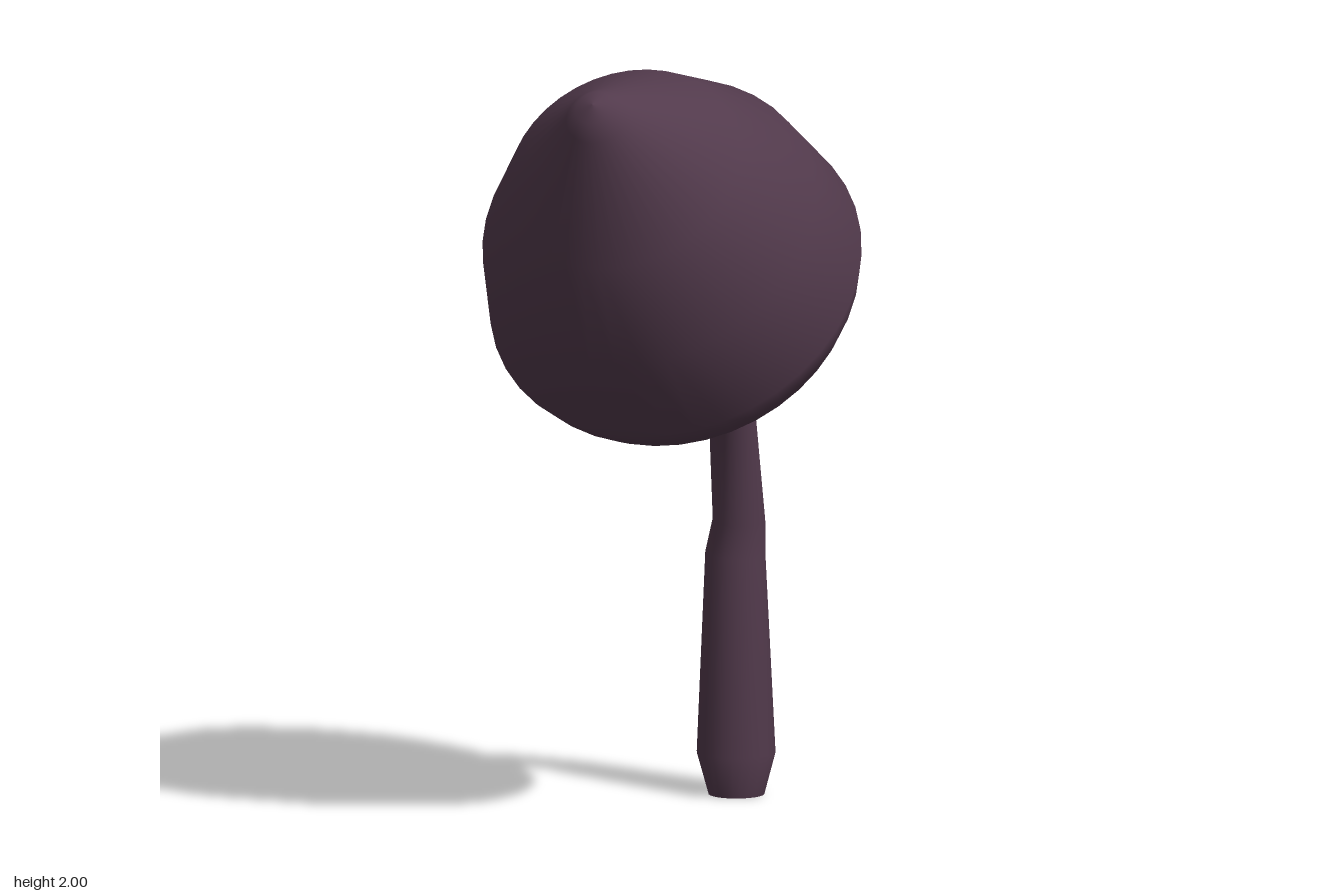
import * as THREE from 'three';

const V = (x, y, z) => new THREE.Vector3(x, y, z);

// Round tube through [x, y, z, radius] stations, closed at both ends
function loft(stations, sides) {
  const centres = stations.map(s => V(s[0], s[1], s[2]));
  const last = centres.length - 1;
  const pos = [], idx = [];
  centres.forEach((c, i) => {
    const t = V(0, 0, 0);
    if (i > 0) t.add(c.clone().sub(centres[i - 1]).normalize());
    if (i < last) t.add(centres[i + 1].clone().sub(c).normalize());
    t.normalize();
    if (i === 0) t.set(0, 1, 0);
    const u = V(0, 0, 1).cross(t).negate().normalize();
    const w = u.clone().cross(t).normalize();
    for (let k = 0; k < sides; k++) {
      const a = k / sides * Math.PI * 2, r = stations[i][3];
      const p = c.clone().addScaledVector(u, Math.cos(a) * r).addScaledVector(w, Math.sin(a) * r);
      pos.push(p.x, p.y, p.z);
    }
  });
  for (let i = 0; i < last; i++) {
    for (let k = 0; k < sides; k++) {
      const a = i * sides + k, b = i * sides + (k + 1) % sides;
      idx.push(a, a + sides, b, b, a + sides, b + sides);
    }
  }
  const g = new THREE.BufferGeometry();
  g.setAttribute('position', new THREE.Float32BufferAttribute(pos, 3));
  g.setIndex(idx);
  g.computeVertexNormals();
  return g;
}

export function createModel() {
  const root = new THREE.Group();
  root.name = 'mushroom';
  const plum = new THREE.MeshStandardMaterial({ color: 0x523a4c });
  plum.name = 'dusky plum';

  const add = (parent, name, geometry) => {
    const m = new THREE.Mesh(geometry, plum);
    m.name = name;
    parent.add(m);
    return m;
  };
  const lathe = pts => new THREE.LatheGeometry(pts.map(p => new THREE.Vector2(p[0], p[1])), 40);

  // Cap: turned about an axis that leans right, up and a little forward
  const cap = new THREE.Group();
  cap.name = 'cap';
  cap.position.set(0.105, 1.34, 0);
  cap.quaternion.setFromUnitVectors(V(0, 1, 0), V(-0.70, 0.69, 0.18).normalize());
  root.add(cap);
  add(cap, 'capTop', lathe([
    [0.44, 0], [0.472, 0.055], [0.497, 0.125], [0.445, 0.38], [0.31, 0.62],
    [0.085, 0.865], [0.05, 0.903], [0, 0.918],
  ]));
  // Sloping inner lip and shallow underside
  add(cap, 'capLip', lathe([[0.395, 0.06], [0.42, 0.02], [0.44, 0]]));
  add(cap, 'capUnderside', lathe([[0, 0.065], [0.2, 0.064], [0.395, 0.06]]));

  // Bent stem, swollen near the foot
  add(root, 'stem', loft([
    [0.45, 0, -0.102, 0.072],
    [0.45, 0.11, -0.103, 0.102],
    [0.44, 0.63, -0.098, 0.078],
    [0.442, 0.72, -0.088, 0.068],
    [0.393, 0.995, -0.073, 0.061],
    [0.288, 1.15, -0.057, 0.058],
    [0.165, 1.28, -0.036, 0.046],
    [0.04, 1.41, -0.012, 0.04],
  ], 24));

  // Flat base of the stem
  const foot = add(root, 'stemBase', new THREE.CircleGeometry(0.072, 24));
  foot.rotation.x = Math.PI / 2;
  foot.position.set(0.45, 0, -0.102);

  return root;
}
